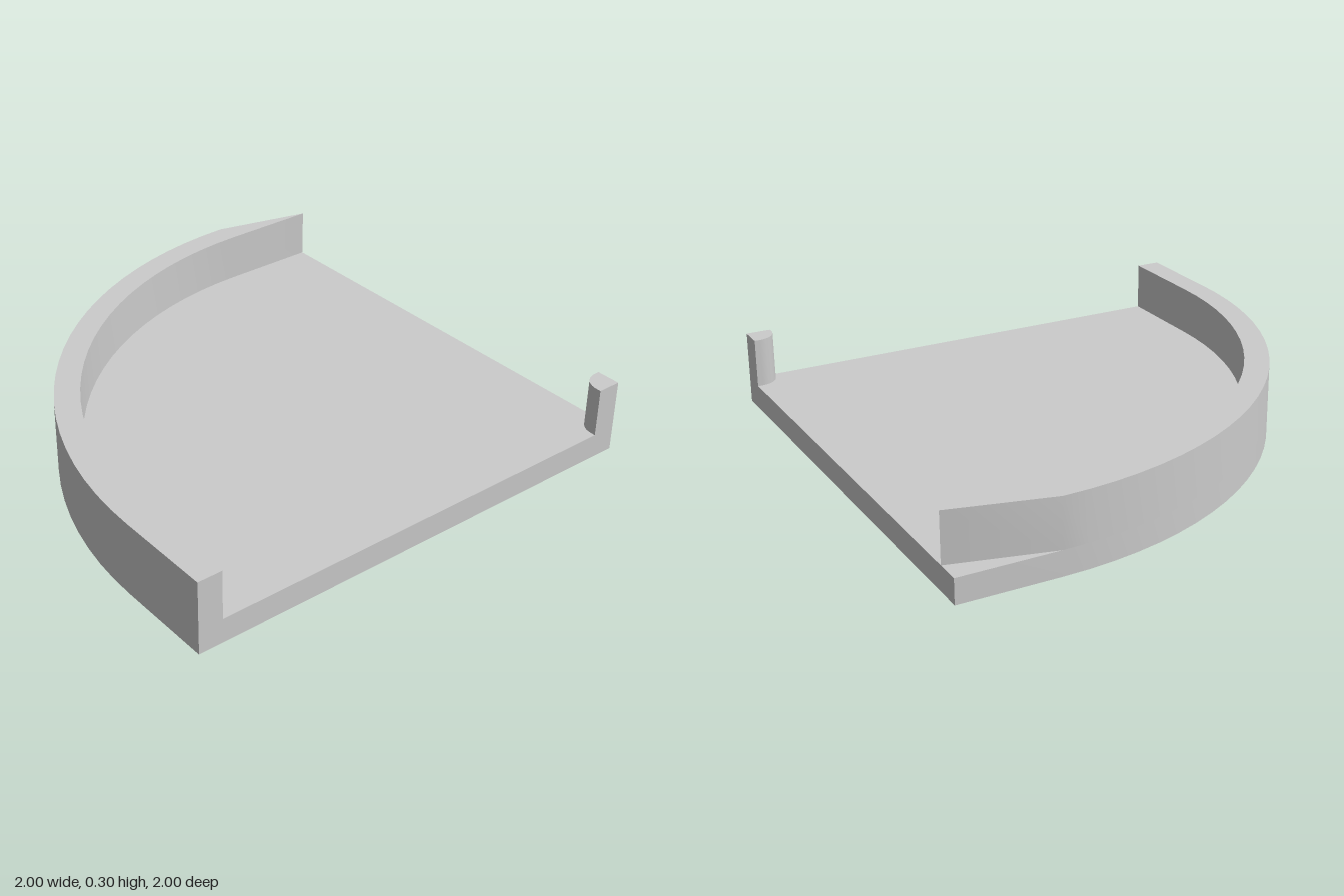
import * as THREE from 'three';
import { toCreasedNormals } from 'three/addons/utils/BufferGeometryUtils.js';

const material = new THREE.MeshStandardMaterial({ color: 0xcccccc });
const BASE = 0.1, TOP = 0.3, WALL = 0.1;
const CENTRE = 0.6, RADIUS = 1.6;

// Extrudes a plan drawn in x and z between two heights
function slab(name, plan, bottom, top, curveSegments) {
  const geometry = new THREE.ExtrudeGeometry(plan, {
    depth: top - bottom, bevelEnabled: false, curveSegments,
  });
  geometry.rotateX(Math.PI / 2).translate(0, top, 0);
  const mesh = new THREE.Mesh(toCreasedNormals(geometry, Math.PI / 6), material);
  mesh.name = name;
  return mesh;
}

export function createModel() {
  const group = new THREE.Group();
  group.name = 'quarterRoundTray';

  // Floor: square with one large rounded corner
  const floor = new THREE.Shape();
  floor.moveTo(1, -1);
  floor.lineTo(-1, -1);
  floor.absarc(CENTRE, -CENTRE, RADIUS, Math.PI, Math.PI / 2, true);
  floor.lineTo(1, 1);
  floor.closePath();
  group.add(slab('floor', floor, 0, BASE, 12));

  // Wall: band of even thickness along the rounded side
  const wall = new THREE.Shape();
  wall.moveTo(-1, -1);
  wall.absarc(CENTRE, -CENTRE, RADIUS, Math.PI, Math.PI / 2, true);
  wall.lineTo(1, 1);
  wall.lineTo(1, 1 - WALL);
  wall.absarc(CENTRE, -CENTRE, RADIUS - WALL, Math.PI / 2, Math.PI, false);
  wall.lineTo(-1 + WALL, -1);
  wall.closePath();
  group.add(slab('curvedWall', wall, BASE, TOP, 12));

  // Post: small pillar in the square corner, rounded on its inner edge
  const post = new THREE.Shape();
  post.moveTo(1, -1);
  post.lineTo(0.9, -1);
  post.absarc(0.98, -0.98, 0.08, Math.PI, Math.PI / 2, true);
  post.lineTo(1, -0.9);
  post.closePath();
  group.add(slab('cornerPost', post, BASE, TOP, 8));

  return group;
}
